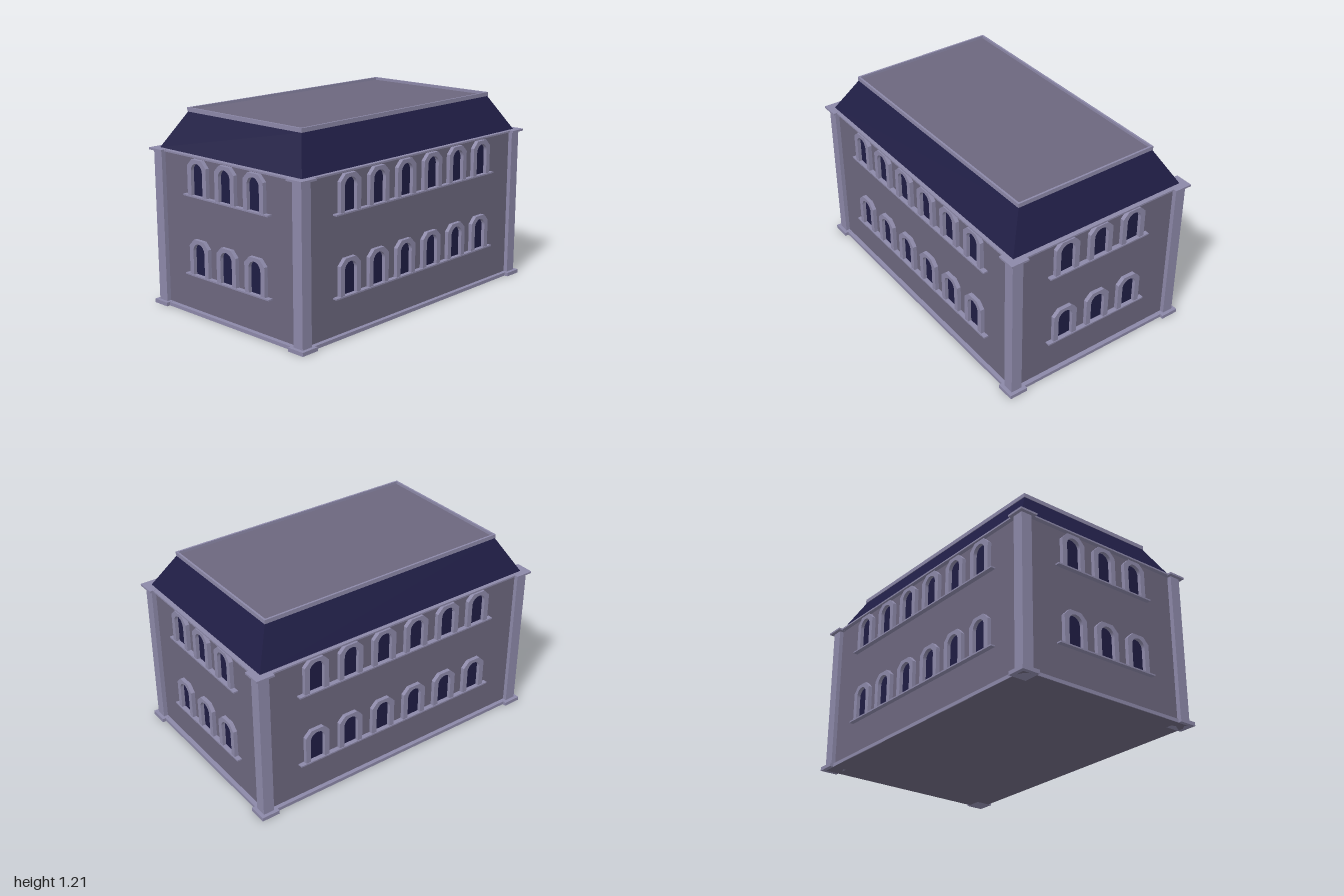
import * as THREE from 'three';

const wallMat = new THREE.MeshStandardMaterial({ color: 0x6c677e });
const trimMat = new THREE.MeshStandardMaterial({ color: 0x8c88a8 });
const darkMat = new THREE.MeshStandardMaterial({ color: 0x1f1d44 });

const WALL_X = 0.95, WALL_Z = 0.592;
const EAVES = 0.967, ROOF_TOP = 1.18, TOP = 1.205;

function mesh(parent, name, geometry, material) {
  const m = new THREE.Mesh(geometry, material);
  m.name = name;
  parent.add(m);
  return m;
}

// Box given by its lower and upper corners
function box(parent, name, material, x0, x1, y0, y1, z0, z1) {
  const m = mesh(parent, name, new THREE.BoxGeometry(x1 - x0, y1 - y0, z1 - z0), material);
  m.position.set((x0 + x1) / 2, (y0 + y1) / 2, (z0 + z1) / 2);
  return m;
}

// Round-headed opening, standing on y = 0
function archOutline(target, r, height) {
  target.moveTo(-r, 0);
  target.lineTo(r, 0);
  target.lineTo(r, height - r);
  target.absarc(0, height - r, r, 0, Math.PI, false);
  target.lineTo(-r, 0);
  return target;
}

// Window surround with cut upper corners and an arched hole
function surroundGeometry() {
  const w = 0.082, h = 0.215, c = 0.04;
  const s = new THREE.Shape();
  s.moveTo(-w, 0);
  s.lineTo(w, 0);
  s.lineTo(w, h - c);
  s.lineTo(w - c, h);
  s.lineTo(c - w, h);
  s.lineTo(-w, h - c);
  s.closePath();
  s.holes.push(archOutline(new THREE.Path(), 0.049, 0.193));
  return new THREE.ExtrudeGeometry(s, { depth: 0.025, bevelEnabled: false, curveSegments: 12 });
}

// Rows of windows for one wall, built facing +z
function facade(count, surround, glass) {
  const g = new THREE.Group();
  const spacing = 0.238;
  const sill = count * spacing / 2;
  for (const y of [0.25, 0.73]) {
    for (let i = 0; i < count; i++) {
      const win = new THREE.Group();
      win.name = 'window';
      win.position.set((i - (count - 1) / 2) * spacing, y, 0);
      mesh(win, 'windowSurround', surround, trimMat);
      mesh(win, 'windowPane', glass, darkMat).position.z = 0.002;
      g.add(win);
    }
    box(g, 'windowSill', trimMat, -sill, sill, y - 0.009, y, -0.005, 0.03);
  }
  return g;
}

export function createModel() {
  const model = new THREE.Group();
  model.name = 'building';

  // Walls, plinth and cornice
  box(model, 'walls', wallMat, -WALL_X, WALL_X, 0.002, 0.96, -WALL_Z, WALL_Z);
  box(model, 'plinth', trimMat, -0.978, 0.978, 0.001, 0.022, -0.618, 0.618);
  box(model, 'plinthUnderside', wallMat, -0.975, 0.975, 0, 0.01, -0.615, 0.615);
  box(model, 'cornice', trimMat, -0.978, 0.978, 0.956, EAVES - 0.001, -0.618, 0.618);

  // Corner pillars with a base and a cap
  for (const sx of [-1, 1]) {
    for (const sz of [-1, 1]) {
      const corner = new THREE.Group();
      corner.name = 'cornerPillar';
      const block = (name, inX, outX, inZ, outZ, y0, y1) => {
        const m = mesh(corner, name, new THREE.BoxGeometry(outX - inX, y1 - y0, outZ - inZ), trimMat);
        m.position.set(sx * (inX + outX) / 2, (y0 + y1) / 2, sz * (inZ + outZ) / 2);
      };
      block('pillarShaft', 0.908, 0.978, 0.548, 0.618, 0.02, 0.958);
      block('pillarBase', 0.885, 1, 0.525, 0.64, 0, 0.023);
      block('pillarCap', 0.885, 1, 0.525, 0.64, 0.955, EAVES);
      model.add(corner);
    }
  }

  // Windows on all four sides
  const surround = surroundGeometry();
  const glass = new THREE.ShapeGeometry(archOutline(new THREE.Shape(), 0.049, 0.193), 12);
  ['front', 'left', 'back', 'right'].forEach((name, i) => {
    const side = facade(i % 2 ? 3 : 6, surround, glass);
    side.name = name + 'Windows';
    side.rotation.y = i * Math.PI / 2;
    const d = i % 2 ? WALL_X : WALL_Z;
    side.position.set(Math.sin(side.rotation.y) * d, 0, Math.cos(side.rotation.y) * d);
    model.add(side);
  });

  // Sloping roof: a box whose upper corners are drawn inwards
  let roof = new THREE.BoxGeometry(1.9, ROOF_TOP - EAVES, 1.19);
  const p = roof.attributes.position;
  for (let i = 0; i < p.count; i++) {
    if (p.getY(i) > 0) p.setXYZ(i, Math.sign(p.getX(i)) * 0.83, p.getY(i), Math.sign(p.getZ(i)) * 0.472);
  }
  roof = roof.toNonIndexed();
  roof.computeVertexNormals();
  mesh(model, 'mansardRoof', roof, darkMat).position.y = (EAVES + ROOF_TOP) / 2;

  // Flat deck inside a low parapet
  box(model, 'roofDeck', wallMat, -0.825, 0.825, ROOF_TOP - 0.01, ROOF_TOP + 0.008, -0.468, 0.468);
  for (const s of [-1, 1]) {
    const long = box(model, 'parapet', trimMat, -0.833, 0.833, ROOF_TOP, TOP, -0.006, 0.006);
    long.position.z = s * 0.47;
    const short = box(model, 'parapet', trimMat, -0.006, 0.006, ROOF_TOP, TOP, -0.464, 0.464);
    short.position.x = s * 0.827;
  }
  return model;
}
